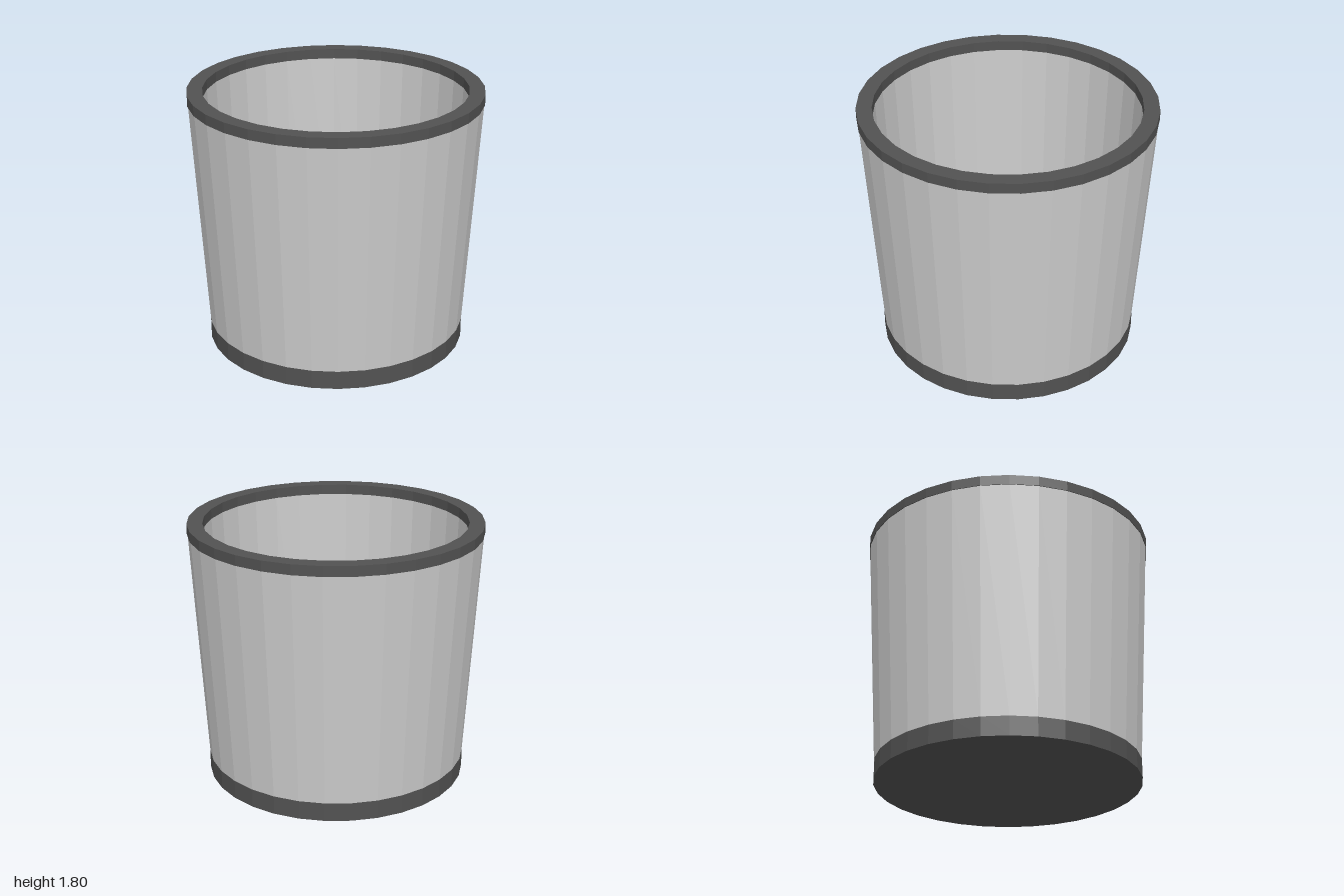
import * as THREE from 'three';

const SIDES = 32;

export function createModel() {
  const model = new THREE.Group();
  model.name = 'bucket';
  const grey = new THREE.MeshStandardMaterial({ color: 0xcccccc, flatShading: true });
  grey.name = 'light grey';
  const dark = new THREE.MeshStandardMaterial({ color: 0x525252, flatShading: true });
  dark.name = 'dark grey';

  // Revolve a [radius, height] profile, listed so that outer faces run upward
  function revolve(name, profile, material) {
    const points = profile.map(([r, y]) => new THREE.Vector2(r, y));
    const mesh = new THREE.Mesh(new THREE.LatheGeometry(points, SIDES), material);
    mesh.name = name;
    model.add(mesh);
  }

  // Solid base disc, whose top is the floor inside
  revolve('base', [[0, 0], [0.9, 0], [0.9, 0.13], [0, 0.13]], dark);

  // Tapered wall, outside and inside
  revolve('outerWall', [[0.9, 0.13], [0.995, 1.73]], grey);
  revolve('innerWall', [[0.895, 1.73], [0.84, 0.13]], grey);

  // Flat rim ring
  revolve('rim', [[0.895, 1.73], [1, 1.73], [1, 1.8], [0.895, 1.8], [0.895, 1.73]], dark);

  return model;
}
